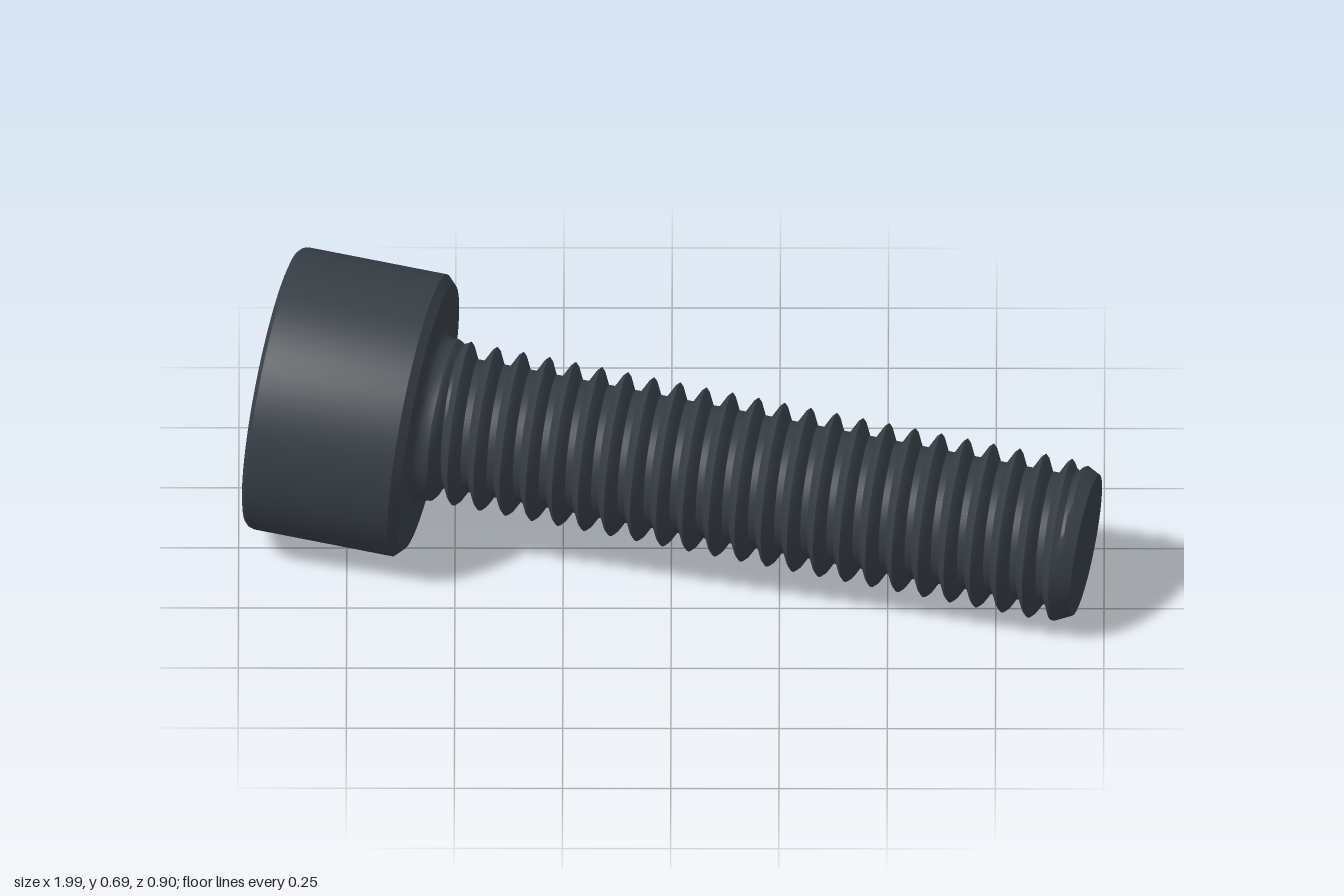
import * as THREE from 'three';
import { toCreasedNormals } from 'three/addons/utils/BufferGeometryUtils.js';

// All parts are built along local +x, from the head's top (x = 0) to the tip.
const SIDES = 72;
const HEAD_R = 0.332, HEAD_LEN = 0.37;
const CREST_R = 0.19, ROOT_R = 0.153, PITCH = 0.062;
const THREAD_START = 0.405, LAST_CREST = 1.867, TIP = 1.93, TIP_R = 0.166;
const SOCKET_R = 0.185, SOCKET_DEPTH = 0.17;

// Profile points are [radius, distance along the axis]
function turned(profile, sides) {
  const geo = new THREE.LatheGeometry(profile.map(([r, t]) => new THREE.Vector2(r, t)), sides);
  geo.rotateZ(-Math.PI / 2);
  return toCreasedNormals(geo, 0.5);
}

function ringPoints(radius, count) {
  return Array.from({ length: count }, (_, i) => {
    const a = (i / count) * Math.PI * 2;
    return new THREE.Vector2(Math.cos(a) * radius, Math.sin(a) * radius);
  });
}

// Helical thread radius, filled out near the neck and bevelled at the tip
function threadRadius(t, angle) {
  const u = (t - LAST_CREST) / PITCH - angle / (Math.PI * 2);
  const f = Math.abs(u - Math.round(u));
  const depth = THREE.MathUtils.clamp((f - 0.0625) / 0.3125, 0, 1);
  const fade = Math.max(
    1 - THREE.MathUtils.smoothstep(t, THREAD_START, THREAD_START + 0.035),
    THREE.MathUtils.smoothstep(t, LAST_CREST, TIP - 0.02)
  );
  const r = CREST_R - (CREST_R - ROOT_R) * depth * (1 - fade);
  const bevel = TIP_R + (TIP - t) * 0.5;
  return Math.min(r, bevel);
}

function threadGeometry() {
  const perTurn = 8;
  const base = LAST_CREST - 25 * PITCH;
  const rows = Math.ceil(((TIP - base) / PITCH) * perTurn) + 1;
  const pos = [], index = [];
  for (let i = 0; i <= rows; i++) {
    for (let j = 0; j <= SIDES; j++) {
      const angle = (j / SIDES) * Math.PI * 2;
      const raw = base + (i / perTurn + j / SIDES) * PITCH;
      const t = THREE.MathUtils.clamp(raw, THREAD_START, TIP);
      const r = threadRadius(t, angle);
      pos.push(t, r * Math.cos(angle), r * Math.sin(angle));
    }
  }
  // Skip triangles flattened against either end
  const add = (a, b, c) => {
    const [p, q, s] = [a, b, c].map((k) => pos[k * 3]);
    if (p !== q || q !== s) index.push(a, b, c);
  };
  for (let i = 0; i < rows; i++) {
    for (let j = 0; j < SIDES; j++) {
      const a = i * (SIDES + 1) + j, c = a + SIDES + 1;
      add(a, a + 1, c);
      add(a + 1, c + 1, c);
    }
  }
  const geo = new THREE.BufferGeometry();
  geo.setAttribute('position', new THREE.Float32BufferAttribute(pos, 3));
  geo.setIndex(index);
  return toCreasedNormals(geo, 0.5);
}

export function createModel() {
  const steel = new THREE.MeshStandardMaterial({ color: 0x363d44 });
  steel.name = 'blackened steel';

  const bolt = new THREE.Group();
  bolt.name = 'bolt';
  const add = (name, geo) => {
    const mesh = new THREE.Mesh(geo, steel);
    mesh.name = name;
    bolt.add(mesh);
  };

  // Head: rounded top rim, straight side, bevelled underside
  add('head', turned([
    [HEAD_R - 0.022, 0], [HEAD_R - 0.011, 0.003], [HEAD_R - 0.003, 0.011], [HEAD_R, 0.022],
    [HEAD_R, HEAD_LEN - 0.02], [HEAD_R - 0.02, HEAD_LEN],
    [0.212, HEAD_LEN]
  ], SIDES));

  // Fillet between the head and the thread
  add('neckFillet', turned([
    [0.212, HEAD_LEN], [0.201, HEAD_LEN + 0.004], [0.194, HEAD_LEN + 0.011],
    [CREST_R, HEAD_LEN + 0.022], [CREST_R, THREAD_START]
  ], SIDES));

  // Flat top of the head with a hexagonal opening
  const face = new THREE.Shape(ringPoints(HEAD_R - 0.022, SIDES));
  face.holes.push(new THREE.Path(ringPoints(SOCKET_R, 6).reverse()));
  add('headFace', new THREE.ShapeGeometry(face).rotateY(-Math.PI / 2));

  // Hexagonal socket walls and floor
  add('hexSocket', turned([[0, SOCKET_DEPTH], [SOCKET_R, SOCKET_DEPTH], [SOCKET_R, 0]], 6));

  add('threadedShank', threadGeometry());

  const tip = new THREE.CircleGeometry(TIP_R, SIDES).rotateY(Math.PI / 2);
  tip.translate(TIP, 0, 0);
  add('tipFace', tip);

  // Lay the bolt down on its head rim and tip
  const axis = new THREE.Vector3(0.974, -0.0877, 0.209).normalize();
  const side = new THREE.Vector3().crossVectors(axis, new THREE.Vector3(0, 1, 0)).normalize();
  const up = new THREE.Vector3().crossVectors(side, axis);
  bolt.quaternion.setFromRotationMatrix(new THREE.Matrix4().makeBasis(axis, up, side));
  bolt.position.set(-0.922, 0.362, -0.13);

  const model = new THREE.Group();
  model.name = 'socketHeadBolt';
  model.add(bolt);
  return model;
}
